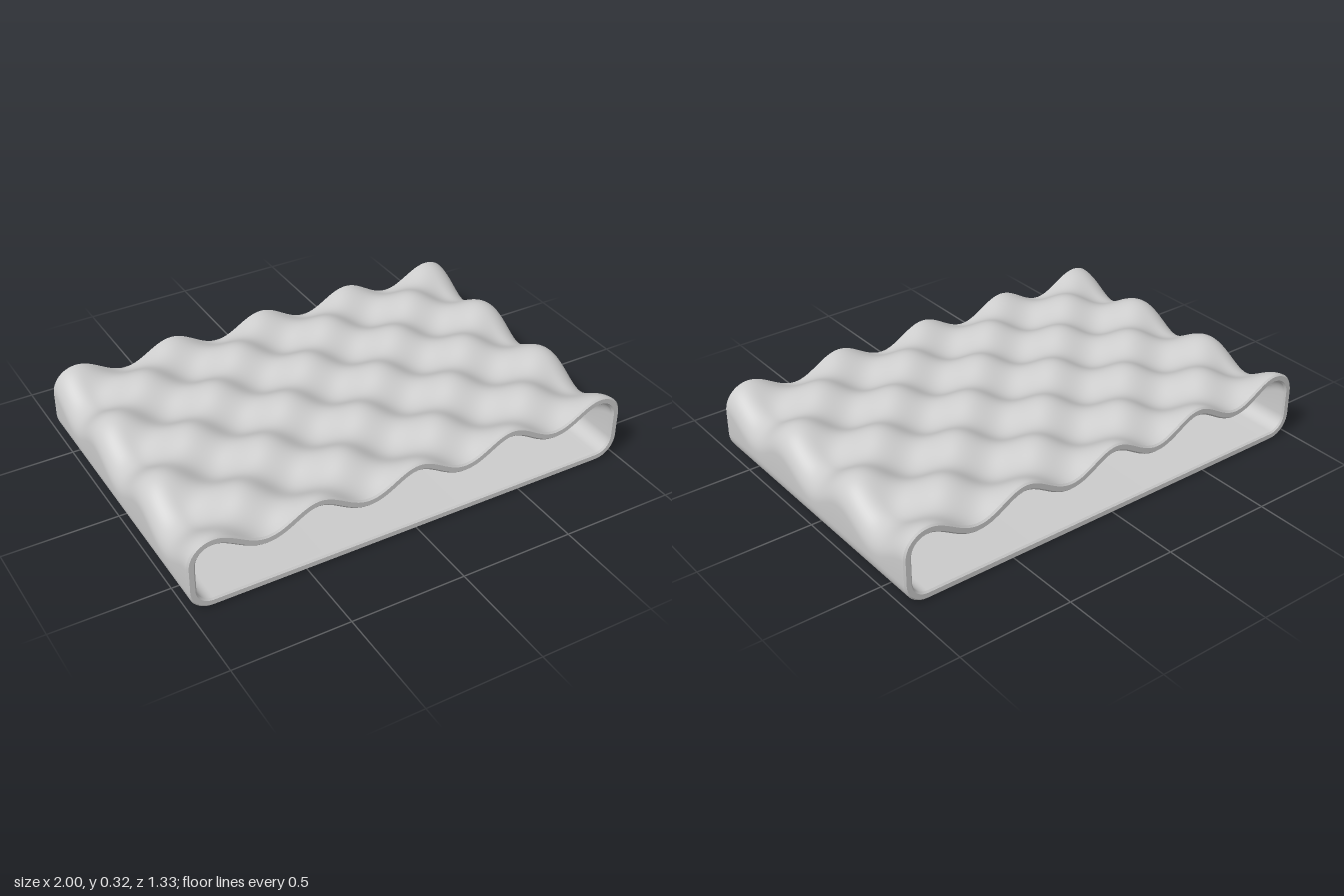
import * as THREE from 'three';
import { toCreasedNormals } from 'three/addons/utils/BufferGeometryUtils.js';

const D = 2 / 3;          // half depth
const T = 0.035;          // wall thickness
const BEVEL = 0.007;      // softened rim at both open ends
const R_LOW = 0.1;        // lower corner radius
const PERIOD = 4 / 9;     // wave length in x and z
const K = (2 * Math.PI) / PERIOD;
const EDGE = 2 * PERIOD;  // last crest before the upper corner
const R_TOP = 1 - EDGE;
const MID = 0.278, AMP = 0.0425;

// Closed section at depth z, counterclockwise from the floor's left end: [x, y, normalX, normalY]
function section(z) {
  const w = -AMP * Math.cos(K * z);
  const right = [];
  const arc = (cx, cy, r, from, to, n) => {
    for (let i = 0; i <= n; i++) {
      const a = from + ((to - from) * i) / n;
      const c = Math.cos(a), s = Math.sin(a);
      right.push([cx + r * c, cy + r * s, c, s]);
    }
  };
  arc(1 - R_LOW, R_LOW, R_LOW, -Math.PI / 2, 0, 10);
  arc(EDGE, MID + w - R_TOP, R_TOP, 0, Math.PI / 2, 12);
  const top = [], n = 112;
  for (let i = 1; i < n; i++) {
    const x = EDGE * (1 - (2 * i) / n);
    const slope = -w * K * Math.sin(K * x);
    const len = Math.hypot(slope, 1);
    top.push([x, MID + w * Math.cos(K * x), -slope / len, 1 / len]);
  }
  const left = right.map(([x, y, nx, ny]) => [-x, y, -nx, ny]).reverse();
  return [left[left.length - 1], ...right, ...top, ...left.slice(0, -1)];
}

// Sleeve skin: outside front-to-back, around the rim, and back along the inside
function sleeveGeometry() {
  const rows = [], n = 84, e = D - BEVEL;
  for (let i = 0; i <= n; i++) rows.push([0, -e + (2 * e * i) / n]);
  rows.push([BEVEL, D], [T - BEVEL, D]);
  for (let i = 0; i <= n; i++) rows.push([T, e - (2 * e * i) / n]);
  rows.push([T - BEVEL, -D], [BEVEL, -D]);

  const pos = [], idx = [];
  let cols = 0;
  for (const [inset, z] of rows) {
    const pts = section(z);
    cols = pts.length;
    for (const [x, y, nx, ny] of pts) pos.push(x - nx * inset, y - ny * inset, z);
  }
  for (let v = 0; v < rows.length; v++) {
    const v2 = (v + 1) % rows.length;
    for (let u = 0; u < cols; u++) {
      // the flat underside is a separate plate
      if (u === 0 && rows[v][0] === 0 && rows[v2][0] === 0) continue;
      const u2 = (u + 1) % cols;
      const a = v * cols + u, b = v * cols + u2;
      const c = v2 * cols + u2, d = v2 * cols + u;
      idx.push(a, b, c, a, c, d);
    }
  }
  const g = new THREE.BufferGeometry();
  g.setAttribute('position', new THREE.Float32BufferAttribute(pos, 3));
  g.setIndex(idx);
  return toCreasedNormals(g, 0.5);
}

export function createModel() {
  const group = new THREE.Group();
  group.name = 'wavySleeve';
  const mat = new THREE.MeshStandardMaterial({ color: 0xcccccc });
  const thin = new THREE.MeshStandardMaterial({ color: 0xcccccc, side: THREE.DoubleSide });
  const add = (name, geometry, material) => {
    const m = new THREE.Mesh(geometry, material);
    m.name = name;
    group.add(m);
    return m;
  };

  add('wavyShell', sleeveGeometry(), mat);

  // Underside plate with four round foot recesses
  const footR = 0.08, footDepth = 0.02, hx = 1 - R_LOW, hz = D - BEVEL;
  const plate = new THREE.Shape([
    new THREE.Vector2(-hx, -hz), new THREE.Vector2(hx, -hz),
    new THREE.Vector2(hx, hz), new THREE.Vector2(-hx, hz),
  ]);
  for (const sx of [-1, 1]) {
    for (const sz of [-1, 1]) {
      const x = sx * 0.77, z = sz * 0.49;
      plate.holes.push(new THREE.Path().absarc(x, z, footR, 0, Math.PI * 2, true));
      add('footRecessWall', new THREE.CylinderGeometry(footR, footR, footDepth, 48, 1, true), thin)
        .position.set(x, footDepth / 2, z);
      add('footRecessFloor', new THREE.CircleGeometry(footR, 48).rotateX(Math.PI / 2), mat)
        .position.set(x, footDepth, z);
    }
  }
  add('underside', new THREE.ShapeGeometry(plate, 24).rotateX(Math.PI / 2), mat);

  return group;
}
